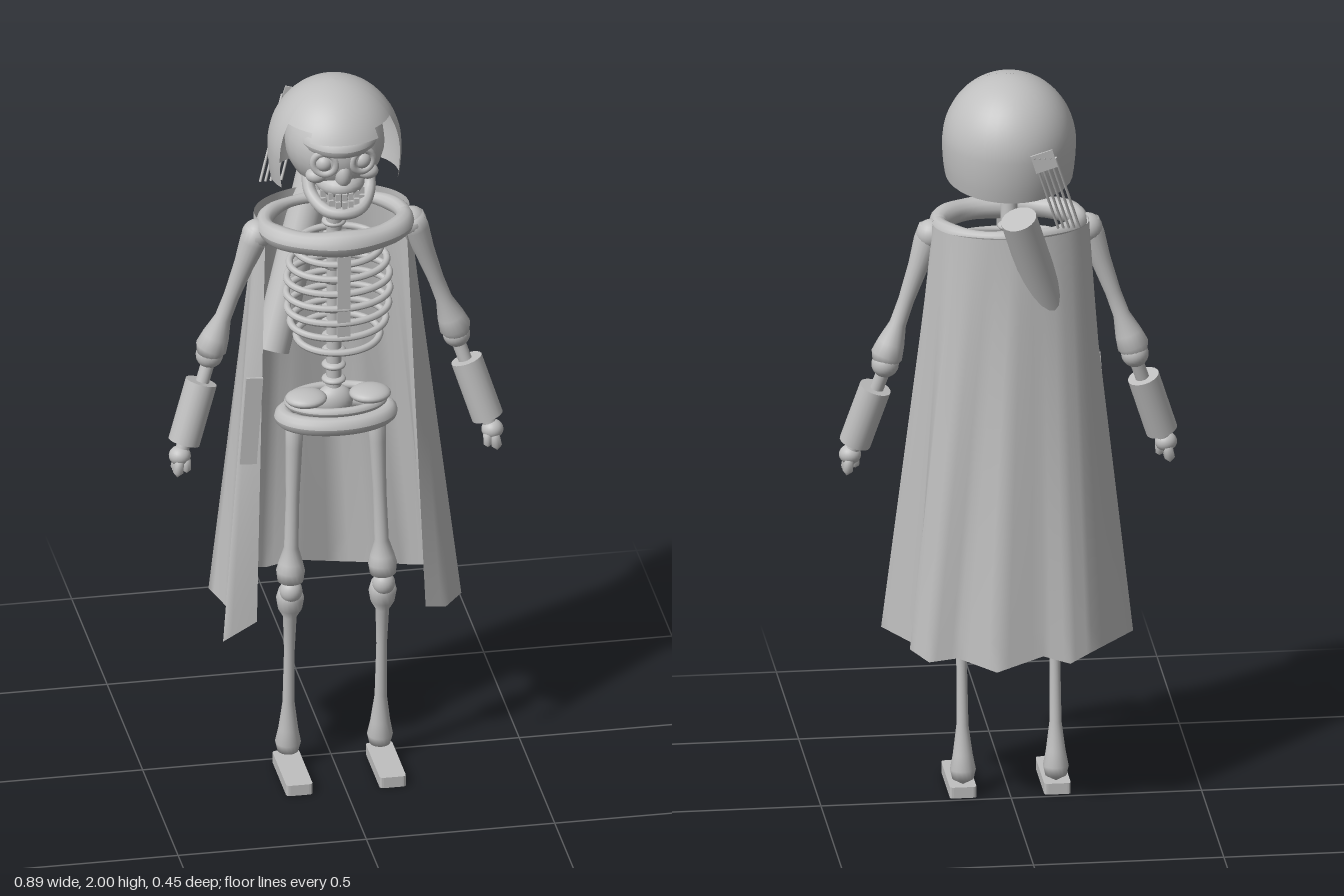
import * as THREE from 'three';

const grey = new THREE.MeshStandardMaterial({ color: 0xbfbfbf, side: THREE.DoubleSide });
grey.name = 'plain grey';
const V = (x, y, z) => new THREE.Vector3(x, y, z);

export function createModel() {
  const model = new THREE.Group();
  model.name = 'caped skeleton';

  const add = (name, geo, pos = [0, 0, 0], parent = model) => {
    const m = new THREE.Mesh(geo, grey);
    m.name = name;
    m.position.set(...pos);
    parent.add(m);
    return m;
  };
  const ball = (name, pos, r, s = [1, 1, 1], parent = model) => {
    const m = add(name, new THREE.SphereGeometry(r, 24, 16), pos, parent);
    m.scale.set(...s);
    return m;
  };
  // Lathed limb from a to b; profile holds [radius, fraction along the limb]
  const limb = (name, a, b, profile, parent = model) => {
    const d = b.clone().sub(a), len = d.length();
    const m = add(name, new THREE.LatheGeometry(profile.map(([r, t]) => new THREE.Vector2(r, t * len)), 18), a.toArray(), parent);
    m.quaternion.setFromUnitVectors(V(0, 1, 0), d.normalize());
    return m;
  };
  const rod = (name, a, b, r, parent = model) => {
    const d = b.clone().sub(a), len = d.length();
    const m = add(name, new THREE.CylinderGeometry(r, r, len, 20), a.clone().add(b).multiplyScalar(0.5).toArray(), parent);
    m.quaternion.setFromUnitVectors(V(0, 1, 0), d.normalize());
    return m;
  };
  // Closed elliptical ring lying flat; radius may vary with angle (0 = front)
  const ring = (name, pos, rx, rz, r, parent = model) => {
    const radius = typeof r === 'function' ? r : () => r;
    const geo = new THREE.TorusGeometry(1, 0.5, 12, 56);
    const p = geo.attributes.position;
    for (let i = 0; i < p.count; i++) {
      const x = p.getX(i), y = p.getY(i), a = Math.atan2(x, y), q = Math.hypot(x, y) - 1;
      const k = radius(a) * 2;
      p.setXYZ(i, Math.sin(a) * (rx + q * k), -p.getZ(i) * k, Math.cos(a) * (rz + q * k));
    }
    geo.computeVertexNormals();
    return add(name, geo, pos, parent);
  };
  // Grid surface from fn(u, v)
  const sheet = (name, nu, nv, fn) => {
    const pos = [], idx = [];
    for (let j = 0; j <= nv; j++) for (let i = 0; i <= nu; i++) pos.push(...fn(i / nu, j / nv));
    for (let j = 0; j < nv; j++) for (let i = 0; i < nu; i++) {
      const a = j * (nu + 1) + i, b = a + nu + 1;
      idx.push(a, b, a + 1, b, b + 1, a + 1);
    }
    const geo = new THREE.BufferGeometry();
    geo.setAttribute('position', new THREE.Float32BufferAttribute(pos, 3));
    geo.setIndex(idx);
    geo.computeVertexNormals();
    return add(name, geo);
  };

  // Helmet: dome sectors cut off at different heights around the head
  const helmetSector = (name, a0, a1, rim) => sheet(name, 24, 20, (u, v) => {
    const a = a0 + (a1 - a0) * u, low = rim(a) - 1.815;
    const end = low > 0 ? Math.acos(low / 0.185) : Math.PI / 2 + Math.asin(-low / 0.3);
    const t = v * end, c = Math.cos(t);
    return [Math.sin(a) * Math.sin(t) * 0.175, 1.815 + c * (c > 0 ? 0.185 : 0.3), 0.05 + Math.cos(a) * Math.sin(t) * 0.185];
  });
  helmetSector('helmetBrow', -0.6, 0.6, () => 1.89);
  for (const s of [-1, 1]) {
    const lo = s > 0 ? 0.6 : -1.15;
    helmetSector('helmetTemple', lo, lo + 0.55, () => 1.915);
  }
  helmetSector('helmetBack', 1.15, Math.PI * 2 - 1.15, a => 1.725 + 0.022 * Math.cos(a));

  // Skull
  const skull = new THREE.Group();
  skull.name = 'skull';
  model.add(skull);
  ball('cranium', [0, 1.83, 0.05], 0.145, [0.9, 0.9, 1], skull);
  const brow = ring('browRidge', [0, 1.865, 0.08], 0.09, 0.115, 0.018, skull);
  brow.scale.y = 1.2;
  ball('noseBone', [0, 1.785, 0.17], 0.03, [0.8, 1.3, 1], skull);
  ball('upperJaw', [0, 1.745, 0.125], 0.065, [1, 0.6, 1.1], skull);
  for (const s of [-1, 1]) {
    const socket = add('eyeSocket', new THREE.TorusGeometry(0.03, 0.01, 10, 24), [s * 0.05, 1.822, 0.177], skull);
    socket.rotation.y = s * 0.3;
    ball('eye', [s * 0.05, 1.822, 0.17], 0.024, [1, 1, 1], skull);
    ball('cheekbone', [s * 0.068, 1.78, 0.155], 0.026, [1.1, 0.8, 1], skull);
  }
  const jawCurve = new THREE.CatmullRomCurve3([V(-0.08, 1.765, 0.09), V(-0.078, 1.715, 0.125), V(-0.045, 1.685, 0.18),
    V(0, 1.68, 0.195), V(0.045, 1.685, 0.18), V(0.078, 1.715, 0.125), V(0.08, 1.765, 0.09)]);
  add('lowerJaw', new THREE.TubeGeometry(jawCurve, 36, 0.017, 10), [0, 0, 0], skull);
  for (let i = -3; i <= 3; i++) for (const y of [1.705, 1.728])
    add('tooth', new THREE.BoxGeometry(0.013, 0.019, 0.012), [i * 0.017, y, 0.195 - i * i * 0.004], skull);

  // Spine, breastbone and ribs
  rod('neck', V(0, 1.57, 0.045), V(0, 1.73, 0.065), 0.022);
  rod('spine', V(0, 1.05, 0.04), V(0, 1.6, 0.045), 0.02);
  for (let i = 0; i < 12; i++) ball('vertebra', [0, 1.12 + i * 0.042, 0.04], 0.032, [1, 0.4, 1]);
  const sternum = add('breastbone', new THREE.BoxGeometry(0.034, 0.25, 0.018), [0, 1.425, 0.178]);
  sternum.rotation.x = 0.03;
  [0.122, 0.137, 0.144, 0.145, 0.142, 0.134, 0.118].forEach((w, i) => {
    const rib = ring('rib', [0, 1.54 - i * 0.043, 0.1], w - 0.008, 0.08, 0.0095);
    rib.rotation.x = 0.24;
  });

  // Rolled collar, thicker in front
  const collar = ring('collar', [0, 1.59, 0.05], 0.185, 0.132, a => 0.024 + 0.009 * Math.cos(a) + 0.002 * Math.cos(6 * a));
  collar.rotation.x = 0.04;

  // Cape: collar outline blended to a folded hem, open in front; [x, z] at the hem
  const hem = [[-0.22, 0.125], [-0.31, 0.125], [-0.275, 0.02], [-0.312, -0.07], [-0.19, -0.19], [-0.13, -0.218], [-0.06, -0.208],
    [0.065, -0.235], [0.16, -0.17], [0.235, -0.165], [0.28, -0.115], [0.255, -0.03], [0.335, 0.06], [0.285, 0.11], [0.225, 0.14]];
  const drop = [0.47, 0.42, 0.46, 0.48, 0.47, 0.45, 0.47, 0.44, 0.46, 0.45, 0.47, 0.45, 0.47, 0.46, 0.48];
  const last = hem.length - 1;
  sheet('cape', last * 4, 16, (u, v) => {
    const k = Math.min(Math.floor(u * last), last - 1), f = u * last - k;
    const mix = (a, b) => a + (b - a) * f;
    const a = -2.0 + 4.0 * u;
    const top = [Math.sin(a) * 0.205, 0.01 - Math.cos(a) * 0.14];
    const x = mix(hem[k][0], hem[k + 1][0]), z = mix(hem[k][1], hem[k + 1][1]);
    return [top[0] + (x - top[0]) * v, 1.605 + (mix(drop[k], drop[k + 1]) - 1.605) * v, top[1] + (z - top[1]) * v];
  });
  add('capeTab', new THREE.BoxGeometry(0.045, 0.25, 0.008), [-0.235, 1.06, 0.125]).rotation.z = -0.07;

  // Quiver slung across the back, and the slatted bundle beside it
  rod('quiver', V(-0.155, 1.19, -0.02), V(0, 1.675, -0.165), 0.048);
  const bundle = new THREE.Group();
  bundle.name = 'arrowBundle';
  model.add(bundle);
  for (let i = 0; i < 5; i++) {
    const o = i * 0.014;
    rod('arrowShaft', V(-0.165 + o, 1.63, -0.122), V(-0.095 + o, 1.85, -0.183), 0.0035, bundle);
  }
  add('arrowFletching', new THREE.BoxGeometry(0.06, 0.05, 0.005), [-0.065, 1.84, -0.183], bundle).rotation.z = -0.3;

  // Pelvis
  const pelvis = new THREE.Group();
  pelvis.name = 'pelvis';
  model.add(pelvis);
  ring('hipRing', [0, 1.035, 0.07], 0.138, 0.08, 0.025, pelvis);
  ring('upperHipRing', [0, 1.075, 0.07], 0.125, 0.08, 0.012, pelvis);
  for (const s of [-1, 1]) ball('hipCrest', [s * 0.085, 1.1, 0.1], 0.05, [1.1, 0.4, 1], pelvis);
  ball('tailbone', [0, 1.06, 0.045], 0.05, [1, 0.9, 0.7], pelvis);

  // Arms and legs, mirrored
  for (const s of [-1, 1]) {
    const arm = new THREE.Group(), leg = new THREE.Group();
    arm.name = s > 0 ? 'leftArm' : 'rightArm';
    leg.name = s > 0 ? 'leftLeg' : 'rightLeg';
    model.add(arm, leg);
    const P = (x, y, z) => V(s * x, y, z);

    ball('shoulder', [s * 0.205, 1.565, 0.045], 0.04, [1, 1, 1], arm);
    limb('upperArm', P(0.2, 1.59, 0.05), P(0.33, 1.22, 0.03),
      [[0, 0], [0.035, 0.02], [0.036, 0.12], [0.027, 0.3], [0.021, 0.55], [0.022, 0.72], [0.036, 0.86], [0.042, 0.95], [0.03, 1.02], [0, 1.04]], arm);
    ball('elbow', [s * 0.328, 1.215, 0.028], 0.036, [1, 1, 1], arm);
    rod('forearm', P(0.33, 1.2, 0.03), P(0.42, 0.93, 0.075), 0.018, arm);
    rod('bracer', P(0.352, 1.145, 0.042), P(0.403, 0.985, 0.067), 0.042, arm);
    ball('wrist', [s * 0.415, 0.95, 0.073], 0.029, [1, 0.9, 1], arm);
    for (let i = -1; i <= 1; i++)
      limb('finger', P(0.418, 0.945, 0.073 + i * 0.018), P(0.425, 0.895, 0.076 + i * 0.015), [[0, 0], [0.012, 0.1], [0.014, 0.7], [0, 1]], arm);
    limb('thumb', P(0.4, 0.95, 0.085), P(0.4, 0.905, 0.09), [[0, 0], [0.012, 0.2], [0.011, 0.8], [0, 1]], arm);

    limb('thigh', P(0.108, 1.04, 0.065), P(0.123, 0.56, 0.08),
      [[0, 0], [0.026, 0.02], [0.022, 0.2], [0.018, 0.5], [0.019, 0.8], [0.032, 0.89], [0.038, 0.94], [0.034, 1], [0, 1.05]], leg);
    ball('kneecap', [s * 0.123, 0.535, 0.09], 0.03, [1, 1.1, 1], leg);
    limb('shin', P(0.123, 0.55, 0.08), P(0.122, 0.035, 0.04),
      [[0, 0], [0.03, 0.03], [0.037, 0.08], [0.032, 0.14], [0.018, 0.19], [0.014, 0.4], [0.016, 0.7], [0.026, 0.85], [0.034, 0.93], [0.028, 0.98], [0, 1.01]], leg);
    // Flat foot with rounded corners
    const w = 0.035, l = 0.103, r = 0.01;
    const sole = new THREE.Shape();
    sole.moveTo(-w + r, -l).lineTo(w - r, -l).quadraticCurveTo(w, -l, w, -l + r).lineTo(w, l - r).quadraticCurveTo(w, l, w - r, l)
      .lineTo(-w + r, l).quadraticCurveTo(-w, l, -w, l - r).lineTo(-w, -l + r).quadraticCurveTo(-w, -l, -w + r, -l);
    const foot = new THREE.ExtrudeGeometry(sole, { depth: 0.03, bevelEnabled: false, curveSegments: 4 });
    add('foot', foot.rotateX(-Math.PI / 2), [s * 0.124, 0, 0.117], leg);
  }
  return model;
}
